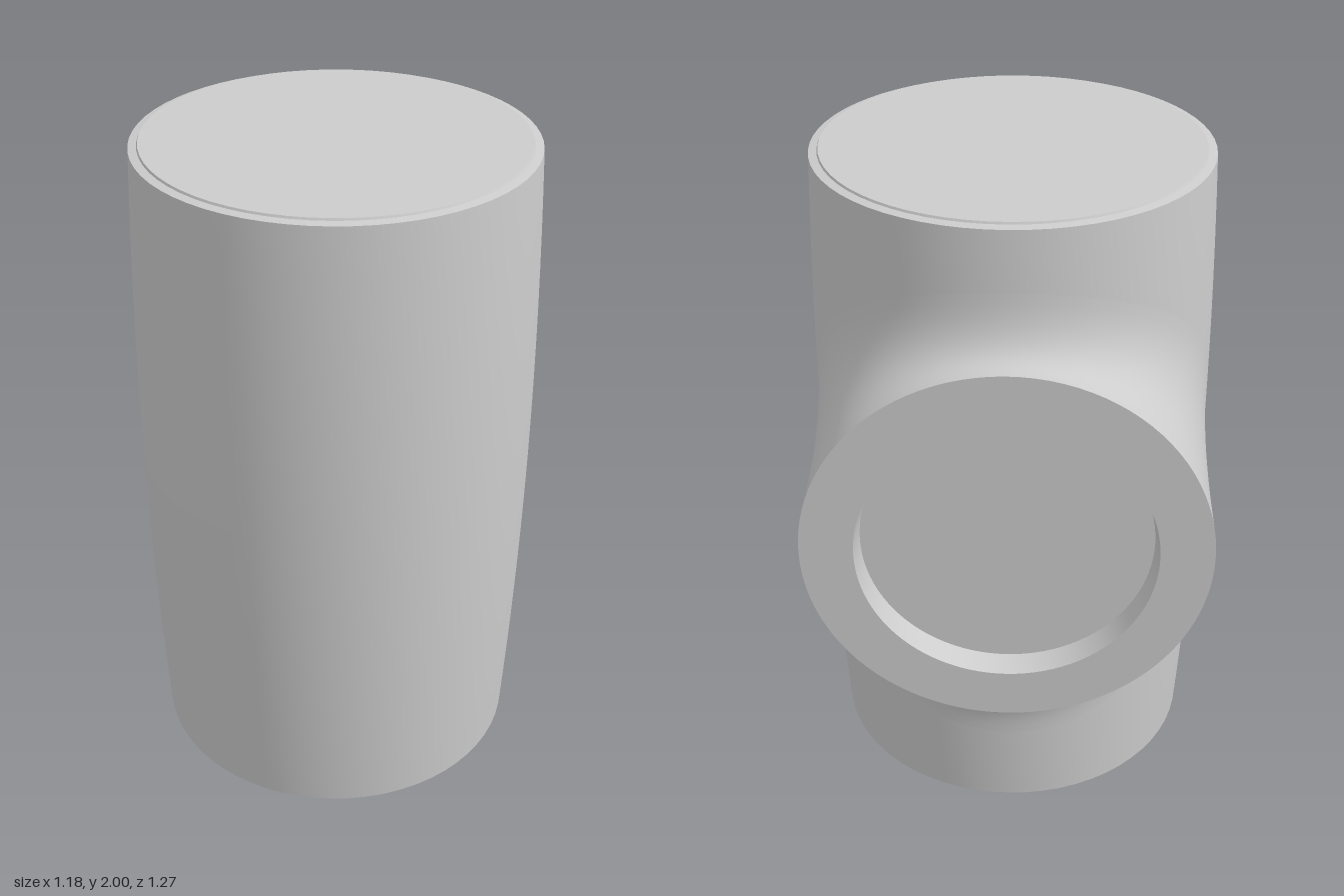
import * as THREE from 'three';
import { toCreasedNormals } from 'three/addons/utils/BufferGeometryUtils.js';
import { ParametricGeometry } from 'three/addons/geometries/ParametricGeometry.js';

const AXIS_Z = 0.047;   // centre line of the upright body
const PORT_Y = 1.07;    // centre height of the round side port
const PORT_R = 0.57;
const BACK_Z = -0.635;

// Slight barrel swell of the body
const bodyRadius = (y) => 0.588 - 0.026 * ((y - 1.1) / 0.98) ** 2;
const bodyBackZ = (x, y) => AXIS_Z - Math.sqrt(Math.max(0, (bodyRadius(y) + 0.001) ** 2 - x * x));

function lathe(points, segments) {
  const profile = points.map(([r, y]) => new THREE.Vector2(r, y));
  return toCreasedNormals(new THREE.LatheGeometry(profile, segments), 0.5);
}

export function createModel() {
  const group = new THREE.Group();
  const grey = new THREE.MeshStandardMaterial({ color: 0xcccccc });
  grey.name = 'light grey';
  const add = (name, geometry) => {
    const mesh = new THREE.Mesh(geometry, grey);
    mesh.name = name;
    group.add(mesh);
    return mesh;
  };

  // Upright barrel: recessed base, rounded foot, swelling wall, thin lid step
  const profile = [[0, 0.04], [0.385, 0.04], [0.4, 0.008], [0.42, 0], [0.46, 0.007],
    [0.5, 0.022], [0.53, 0.045]];
  for (let i = 0; i <= 16; i++) {
    const y = 0.045 + (1.99 - 0.045) * i / 16;
    profile.push([bodyRadius(y), y]);
  }
  profile.push([0.543, 1.994], [0.54, 2], [0, 2]);
  add('body', lathe(profile, 64)).position.z = AXIS_Z;

  // Flared collar blending from the port rim into the barrel
  const rim = new THREE.Vector3(), corner = new THREE.Vector3(), contact = new THREE.Vector3();
  const collar = new ParametricGeometry((u, v, target) => {
    const a = u * Math.PI * 2, c = Math.cos(a), s = Math.sin(a);
    const x = PORT_R * c, y = PORT_Y + PORT_R * s;
    rim.set(x, y, BACK_Z);
    corner.set(x, y, bodyBackZ(x, y));
    const footX = 0.58 * c;
    const footY = PORT_Y + 0.75 * Math.sign(s) * Math.abs(s) ** 0.55;
    contact.set(footX, footY, bodyBackZ(footX, footY));
    target.set(0, 0, 0)
      .addScaledVector(rim, (1 - v) ** 2)
      .addScaledVector(corner, 2 * v * (1 - v))
      .addScaledVector(contact, v * v);
  }, 96, 14);
  add('portCollar', toCreasedNormals(collar, 0.7));

  // Flat port ring with a shallow round recess
  const ring = lathe([[PORT_R, -BACK_Z], [0.42, -BACK_Z], [0.41, 0.56], [0, 0.56]], 96);
  ring.rotateX(-Math.PI / 2);
  add('portFace', ring).position.y = PORT_Y;

  return group;
}
